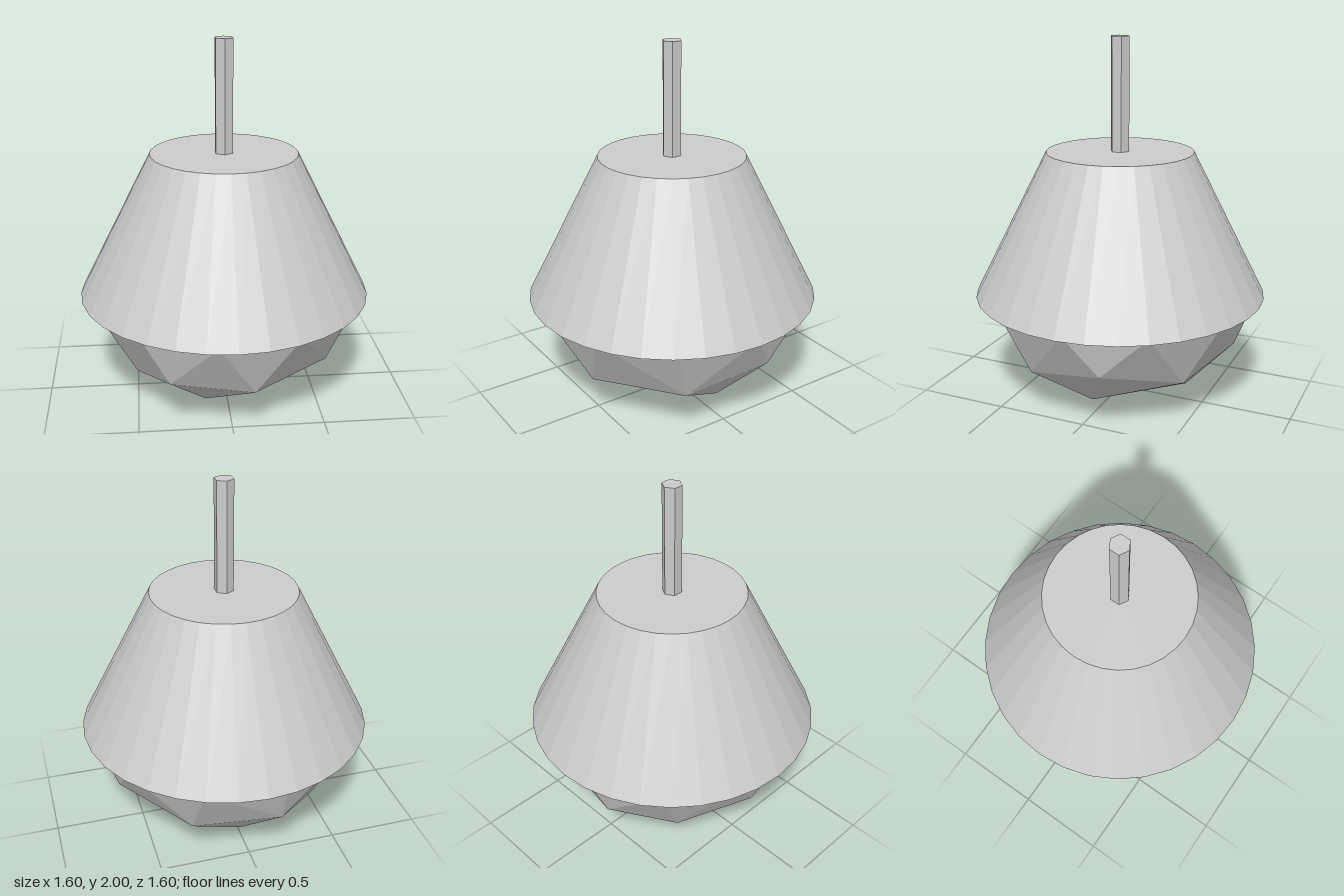
import * as THREE from 'three';
import { ConvexGeometry } from 'three/addons/geometries/ConvexGeometry.js';

const grey = new THREE.MeshStandardMaterial({ color: 0xcccccc, flatShading: true });
grey.name = 'plain grey';

function part(name, geometry, y = 0) {
  const mesh = new THREE.Mesh(geometry, grey);
  mesh.name = name;
  mesh.position.y = y;
  return mesh;
}

export function createModel() {
  const group = new THREE.Group();
  group.name = 'pendantLamp';

  // Conical shade, closed at both ends
  group.add(part('shade', new THREE.CylinderGeometry(0.4, 0.8, 0.79, 32), 0.995));

  // Hexagonal hanging rod
  group.add(part('rod', new THREE.CylinderGeometry(0.053, 0.053, 0.62, 6), 1.69));

  // Irregularly faceted bulb: corners on a sphere, cut off inside the shade
  const corners = [
    [0.02, 0, 0.1], [-0.18, 0.03, -0.16], [-0.13, 0.07, 0.31],
    [0.41, 0.11, -0.02], [-0.39, 0.1, 0], [0.03, 0.11, -0.41],
    [0.11, 0.26, 0.59], [0.54, 0.27, 0.28], [0.65, 0.37, -0.17],
    [0.32, 0.26, -0.5], [-0.14, 0.32, -0.63], [-0.4, 0.2, -0.35],
    [-0.65, 0.35, -0.03], [-0.5, 0.22, 0.23], [-0.33, 0.31, 0.55],
  ].map((p) => new THREE.Vector3(...p));
  for (let i = 0; i < 11; i++) {
    const a = (i / 11) * Math.PI * 2 + 0.45;
    corners.push(new THREE.Vector3(0.76 * Math.sin(a), 0.61, 0.76 * Math.cos(a)));
  }
  group.add(part('bulb', new ConvexGeometry(corners)));

  return group;
}
